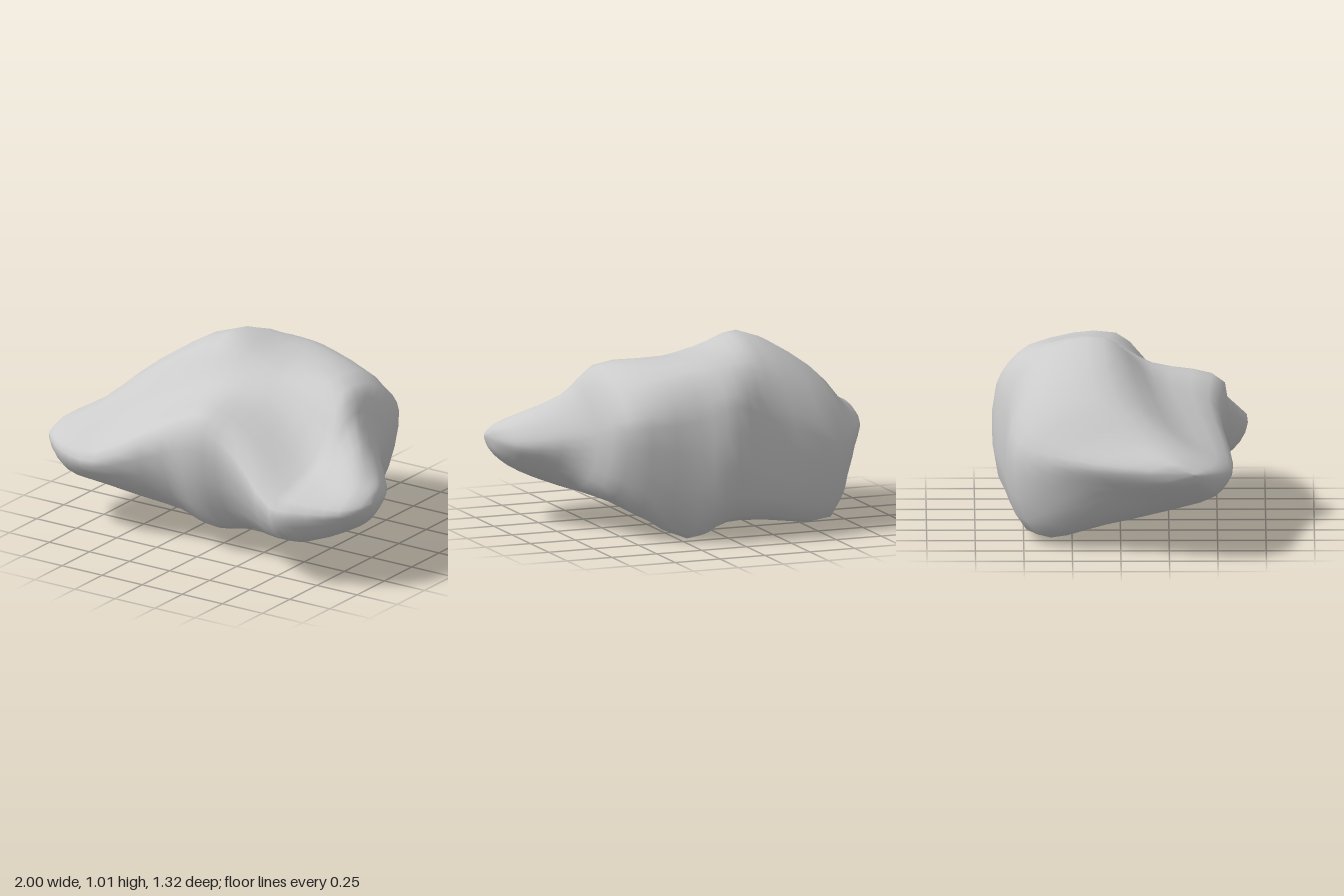
import * as THREE from 'three';
import { mergeVertices } from 'three/addons/utils/BufferGeometryUtils.js';

// Cross-sections across the boulder: x, then eight [z, y] points running
// front, brow, top, upper back, back, lower back, bottom, lower front
const SECTIONS = [
  [-0.82, [0.54, 0.42], [0.4, 0.51], [0.15, 0.59], [-0.09, 0.56], [-0.27, 0.46], [-0.12, 0.31], [0.15, 0.26], [0.48, 0.3]],
  [-0.6, [0.58, 0.42], [0.32, 0.58], [-0.04, 0.79], [-0.38, 0.7], [-0.55, 0.46], [-0.43, 0.05], [-0.08, 0.1], [0.48, 0.27]],
  [-0.21, [0.51, 0.62], [0.17, 0.79], [-0.09, 1.0], [-0.44, 0.9], [-0.59, 0.62], [-0.55, 0.11], [-0.08, 0.09], [0.36, 0.18]],
  [0, [0.54, 0.72], [0.16, 0.82], [-0.1, 0.94], [-0.48, 0.9], [-0.64, 0.71], [-0.57, 0.12], [-0.08, 0.08], [0.39, 0.14]],
  [0.2, [0.52, 0.64], [0.18, 0.77], [-0.07, 0.89], [-0.46, 0.88], [-0.6, 0.64], [-0.52, 0.02], [-0.05, 0.08], [0.36, 0.17]],
  [0.56, [0.655, 0.43], [0.25, 0.58], [-0.02, 0.86], [-0.37, 0.78], [-0.53, 0.6], [-0.37, 0.25], [0.08, 0.17], [0.58, 0.24]],
  [0.68, [0.63, 0.42], [0.34, 0.54], [0.05, 0.71], [-0.1, 0.64], [-0.18, 0.5], [-0.06, 0.3], [0.2, 0.2], [0.56, 0.25]],
  [0.9, [0.53, 0.42], [0.43, 0.5], [0.28, 0.55], [0.15, 0.53], [0.08, 0.44], [0.15, 0.36], [0.28, 0.3], [0.45, 0.33]],
];
const RAILS = 8, STEPS = 3, AROUND = 32;

// Blunt end: a ring shrunk towards the tip, then the tip itself
function endCap(section, side, shrink) {
  const tip = new THREE.Vector3(side, 0.45, 0.36);
  return (r) => {
    const [z, y] = section[r + 1];
    const ring = new THREE.Vector3(0, y, z).lerp(tip, shrink).setX(side * 0.975);
    return [ring, tip];
  };
}

function boulderGeometry() {
  const rightCap = endCap(SECTIONS[0], -1, 0.65);
  const leftCap = endCap(SECTIONS[SECTIONS.length - 1], 1, 0.5);

  // Smooth rails running from one tip to the other
  const rails = [];
  for (let r = 0; r < RAILS; r++) {
    const body = SECTIONS.map((s) => new THREE.Vector3(s[0], s[r + 1][1], s[r + 1][0]));
    rails.push(new THREE.CatmullRomCurve3([...rightCap(r).reverse(), ...body, ...leftCap(r)]));
  }

  // Closed rings through the rails, skinned with triangles
  const rows = (SECTIONS.length + 3) * STEPS;
  const positions = [], index = [];
  for (let i = 0; i <= rows; i++) {
    const points = rails.map((rail) => rail.getPoint(i / rows));
    const pole = i === 0 || i === rows;
    const ring = pole ? null : new THREE.CatmullRomCurve3(points, true);
    for (let j = 0; j < AROUND; j++) {
      const p = pole ? points[0] : ring.getPoint(j / AROUND);
      positions.push(p.x, p.y, p.z);
      if (i === rows) continue;
      const a = i * AROUND + j, b = i * AROUND + (j + 1) % AROUND;
      const c = a + AROUND, d = b + AROUND;
      if (i > 0) index.push(a, c, b);
      if (i < rows - 1) index.push(b, c, d);
    }
  }

  let geometry = new THREE.BufferGeometry();
  geometry.setAttribute('position', new THREE.Float32BufferAttribute(positions, 3));
  geometry.setIndex(index);
  geometry = mergeVertices(geometry, 1e-5);

  // Rest it on the ground
  geometry.computeBoundingBox();
  geometry.translate(0, -geometry.boundingBox.min.y, 0);
  geometry.computeVertexNormals();
  return geometry;
}

export function createModel() {
  const group = new THREE.Group();
  group.name = 'rock';
  const boulder = new THREE.Mesh(boulderGeometry(), new THREE.MeshStandardMaterial({ color: 0xcccccc }));
  boulder.name = 'boulder';
  group.add(boulder);
  return group;
}
